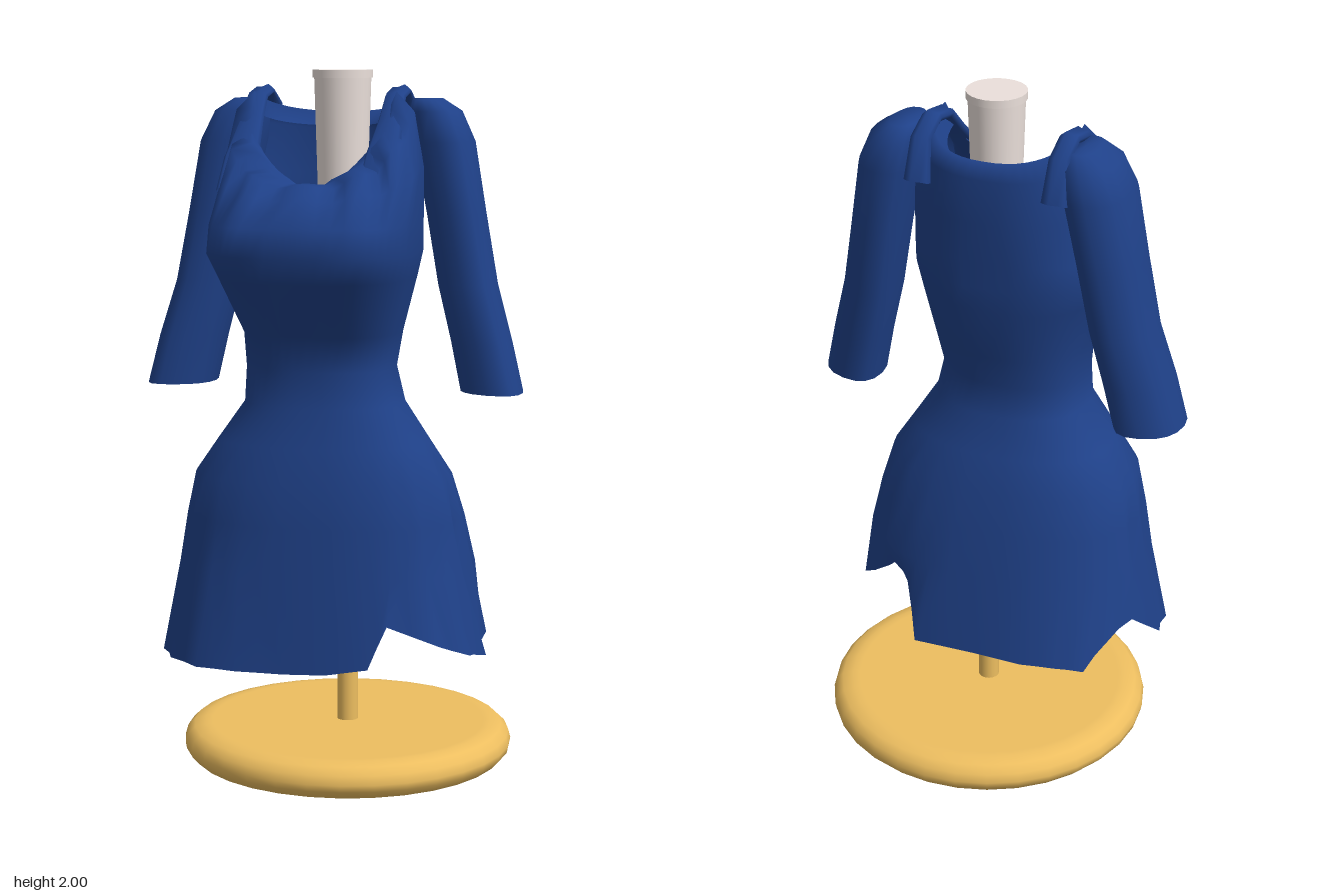
import * as THREE from 'three';

const blue = new THREE.MeshStandardMaterial({ color: 0x1f4189, side: THREE.DoubleSide });
const wood = new THREE.MeshStandardMaterial({ color: 0xedbe60 });
const cover = new THREE.MeshStandardMaterial({ color: 0xebe0db });

function add(parent, name, geometry, material, x = 0, y = 0, z = 0) {
  const mesh = new THREE.Mesh(geometry, material);
  mesh.name = name;
  mesh.position.set(x, y, z);
  parent.add(mesh);
}

// Skin a stack of closed rings (bottom to top), each a list of [x, y, z]
function loft(rings) {
  const n = rings[0].length, index = [];
  for (let i = 0; i < rings.length - 1; i++) {
    for (let j = 0; j < n; j++) {
      const k = (j + 1) % n, a = i * n + j, b = i * n + k;
      index.push(a, a + n, b, b, a + n, b + n);
    }
  }
  const g = new THREE.BufferGeometry();
  g.setAttribute('position', new THREE.Float32BufferAttribute(rings.flat(2), 3));
  g.setIndex(index);
  g.computeVertexNormals();
  return g;
}

// Ring from angles: a = 0 is +x, a = PI/2 is the front
function ring(n, f) {
  return Array.from({ length: n }, (_, j) => f((j / n) * Math.PI * 2, j));
}

// Oval between x0..x1 and z0..z1; power < 1 makes it boxier
function oval(a, x0, x1, z0, z1, power = 0.85) {
  const c = Math.cos(a), s = Math.sin(a);
  const px = Math.sign(c) * Math.abs(c) ** power, pz = Math.sign(s) * Math.abs(s) ** power;
  return [(x0 + x1) / 2 + (px * (x1 - x0)) / 2, (z0 + z1) / 2 + (pz * (z1 - z0)) / 2];
}

// Uneven hem, every 15 degrees from +x round by the front
const hem = [
  [0.45, 0.40, 0.02], [0.47, 0.36, 0.13], [0.44, 0.38, 0.22], [0.37, 0.42, 0.30],
  [0.23, 0.48, 0.35], [0.18, 0.36, 0.37], [0.06, 0.34, 0.38], [-0.06, 0.335, 0.38],
  [-0.2, 0.335, 0.38], [-0.32, 0.335, 0.36], [-0.42, 0.335, 0.28], [-0.47, 0.335, 0.19],
  [-0.48, 0.34, 0.1], [-0.44, 0.46, -0.04], [-0.40, 0.43, -0.13], [-0.35, 0.35, -0.2],
  [-0.27, 0.36, -0.23], [-0.17, 0.36, -0.25], [-0.02, 0.36, -0.25], [0.17, 0.35, -0.245],
  [0.22, 0.51, -0.18], [0.27, 0.55, -0.16], [0.35, 0.48, -0.12], [0.42, 0.42, -0.06],
];

function dressBody() {
  const N = 48;
  // pleats gather mostly on the left side of the skirt
  const pleated = (a, j, depth, [x, y, z]) => {
    const c = Math.cos(a);
    const k = 1 - (j % 2) * depth * c * c * (c > 0 ? 1 : 0.4);
    return [x * k, y, 0.08 + (z - 0.08) * k];
  };
  const rings = [ring(N, (a, j) => {
    const p = hem[j >> 1], q = hem[((j >> 1) + 1) % 24];
    return pleated(a, j, 0.04, j % 2 ? p.map((v, i) => (v + q[i]) / 2) : p);
  })];
  // y, right, left, back, front, boxiness, pleat depth
  const sections = [
    [0.60, -0.435, 0.42, -0.21, 0.355, 0.82, 0.1],
    [0.74, -0.41, 0.39, -0.18, 0.345, 0.82, 0.07],
    [0.86, -0.385, 0.355, -0.155, 0.33, 0.85, 0],
    [0.96, -0.315, 0.29, -0.12, 0.305, 0.85, 0],
    [1.07, -0.235, 0.22, -0.08, 0.28, 0.85, 0],
    [1.17, -0.23, 0.195, -0.075, 0.27, 0.85, 0],
    [1.27, -0.235, 0.21, -0.105, 0.295, 0.82, 0],
    [1.43, -0.28, 0.255, -0.135, 0.435, 0.75, 0],
    [1.50, -0.31, 0.27, -0.14, 0.45, 0.7, 0],
    [1.58, -0.30, 0.27, -0.145, 0.46, 0.7, 0],
  ];
  for (const [y, x0, x1, z0, z1, power, depth] of sections) {
    rings.push(ring(N, (a, j) => {
      const [x, z] = oval(a, x0, x1, z0, z1, power);
      return pleated(a, j, depth, [x, y, z]);
    }));
  }
  // Chest, shoulders and scooped neckline, whose facing drapes inward at the front:
  // front, side and back heights, right, left, back, front, narrowing, fold depth
  const yoke = [
    [1.65, 1.74, 1.70, -0.29, 0.27, -0.155, 0.38, 0, 0.014],
    [1.685, 1.89, 1.83, -0.27, 0.24, -0.16, 0.32, 0, 0.02],
    [1.69, 1.94, 1.88, -0.22, 0.19, -0.145, 0.28, 0.15, 0.01],
    [1.68, 1.88, 1.84, -0.205, 0.165, -0.105, 0.262, 0.55, 0.006],
  ];
  for (const [front, side, back, x0, x1, z0, z1, narrow, fold] of yoke) {
    rings.push(ring(N, (a, j) => {
      const s = Math.sin(a);
      const [x, z] = oval(a, x0, x1, z0, z1, 0.85);
      const y = side + ((s > 0 ? front : back) - side) * Math.abs(s) ** 0.8;
      const f = s > 0.2 ? fold * Math.cos(j * Math.PI / 2) : 0;
      return [x * (1 - narrow * Math.max(s, 0) ** 2), y + f * 0.5, z + f];
    }));
  }
  return loft(rings);
}

function sleeve(side) {
  // y, inner, outer, back, front, forward skew of the outer edge
  const sections = [
    [1.10, 0.365, 0.55, -0.10, 0.12, 0.025],
    [1.24, 0.335, 0.515, -0.115, 0.115, 0.025],
    [1.40, 0.295, 0.468, -0.13, 0.10, 0.02],
    [1.60, 0.26, 0.43, -0.15, 0.10, 0.02],
    [1.80, 0.22, 0.395, -0.165, 0.10, 0.02],
    [1.885, 0.21, 0.355, -0.145, 0.08, 0.01],
    [1.92, 0.22, 0.30, -0.10, 0.05, 0],
    [1.92, 0.26, 0.26, -0.03, -0.03, 0],
  ];
  return loft(sections.map(([y, i, o, z0, z1, skew]) => ring(16, (a) => {
    const [x, z] = oval(a, -1, 1, z0 + skew / 2, z1 - skew / 2);
    return [side * (i + o) / 2 + x * (o - i) / 2, y, z + side * x * skew];
  })));
}

// Gathered strap, spreading out where it meets the chest: y, z, half width
function strap(side) {
  const stations = [
    [1.67, 0.255, 0.06], [1.76, 0.205, 0.05], [1.86, 0.1, 0.034], [1.925, 0.035, 0.03],
    [1.94, -0.04, 0.03], [1.905, -0.115, 0.03], [1.79, -0.145, 0.04],
  ];
  const cx = side > 0 ? 0.18 : -0.22;
  return loft(stations.map(([y, z, w], i) => {
    const p = stations[Math.max(i - 1, 0)], q = stations[Math.min(i + 1, stations.length - 1)];
    const dy = q[0] - p[0], dz = q[1] - p[1], length = Math.hypot(dy, dz);
    return ring(10, (a, j) => {
      const t = (j % 2 ? 0.012 : 0.02) * Math.sin(a);
      return [cx + w * Math.cos(a), y - (t * dz) / length, z + (t * dy) / length];
    });
  }));
}

export function createModel() {
  const model = new THREE.Group();
  model.name = 'dressForm';

  // Stand
  const stand = new THREE.Group();
  stand.name = 'stand';
  model.add(stand);
  const profile = [[0, 0], [0.42, 0], [0.455, 0.012], [0.476, 0.035], [0.48, 0.055],
    [0.473, 0.08], [0.452, 0.1], [0.42, 0.108], [0.4, 0.108], [0, 0.108]];
  add(stand, 'roundBase', new THREE.LatheGeometry(profile.map(([x, y]) => new THREE.Vector2(x, y)), 32), wood, 0.035);
  add(stand, 'pole', new THREE.CylinderGeometry(0.031, 0.031, 1.52, 16), wood, 0.035, 0.86, 0);

  // Neck block with its cap
  add(model, 'neck', new THREE.CylinderGeometry(0.08, 0.068, 0.38, 24), cover, 0.035, 1.79, 0.065);
  add(model, 'neckCap', new THREE.CylinderGeometry(0.085, 0.085, 0.022, 24), cover, 0.035, 1.989, 0.065);

  // Dress
  const dress = new THREE.Group();
  dress.name = 'dress';
  model.add(dress);
  add(dress, 'bodiceAndSkirt', dressBody(), blue);
  for (const side of [1, -1]) {
    const name = side > 0 ? 'left' : 'right';
    add(dress, name + 'Sleeve', sleeve(side), blue);
    add(dress, name + 'Strap', strap(side), blue);
  }
  return model;
}
